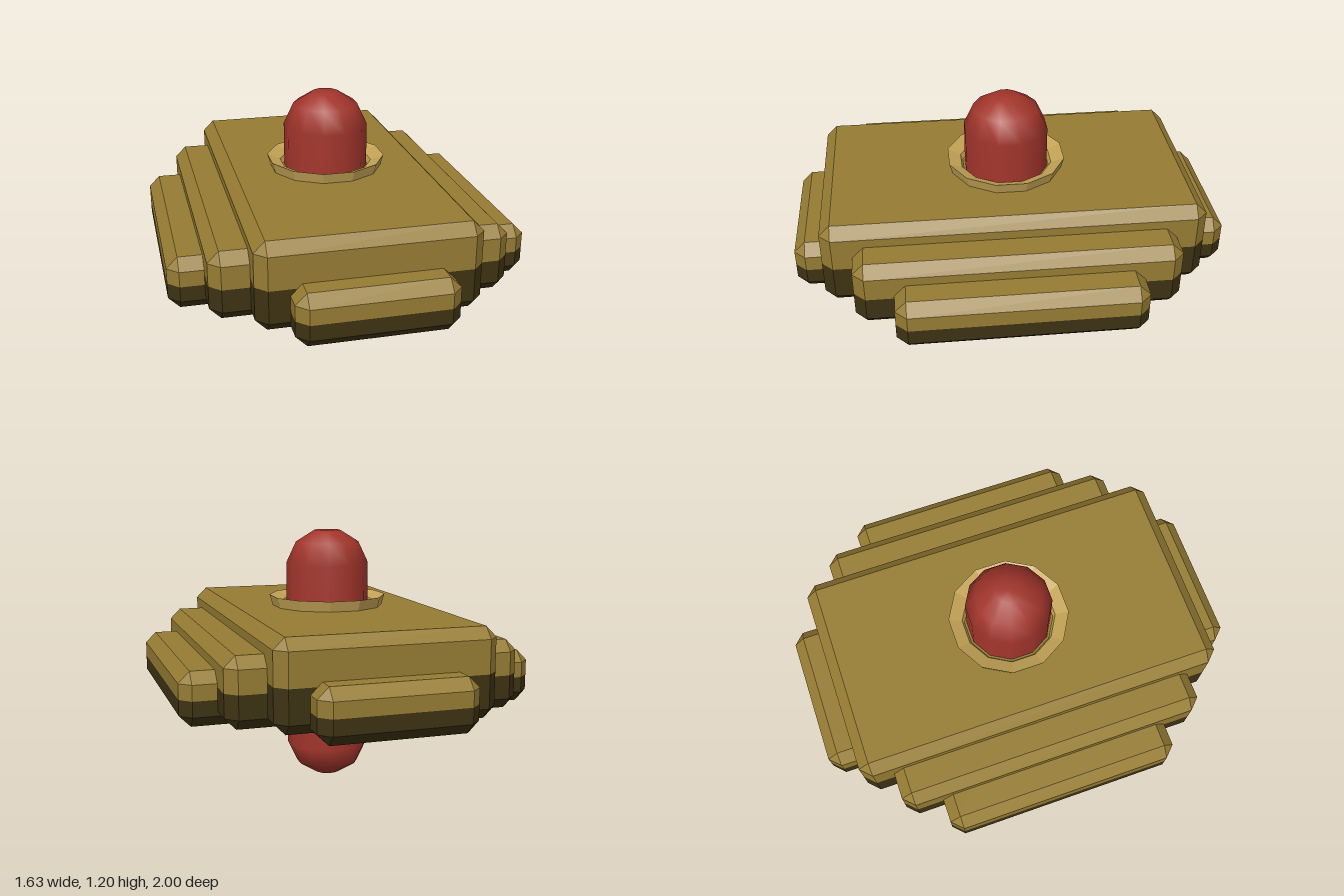
import * as THREE from 'three';

const gold = new THREE.MeshStandardMaterial({ color: 0x967c33 });
gold.name = 'gold';
const darkGold = new THREE.MeshStandardMaterial({ color: 0x3d3213 });
darkGold.name = 'dark gold';
const paleGold = new THREE.MeshStandardMaterial({ color: 0xc4a456 });
paleGold.name = 'pale gold';
paleGold.flatShading = true;
const red = new THREE.MeshStandardMaterial({ color: 0xa2352b });
red.name = 'red';

const CHAMFER = 0.05;
const SIDES = 12;

// Outline of a rectangle with cut corners (cut may be zero), 8 points at height y
function outline(hx, hz, cut, y) {
  return [
    [hx, hz - cut], [hx, -hz + cut], [hx - cut, -hz], [-hx + cut, -hz],
    [-hx, -hz + cut], [-hx, hz - cut], [-hx + cut, hz], [hx - cut, hz],
  ].map(([x, z]) => new THREE.Vector3(x, y, z));
}

// Joins stacked outlines into flat walls; caps the first or last outline
function skin(loops, capBottom, capTop) {
  const pos = [];
  const tri = (a, b, c) => {
    const area = b.clone().sub(a).cross(c.clone().sub(a)).length();
    if (area > 1e-8) for (const p of [a, b, c]) pos.push(p.x, p.y, p.z);
  };
  for (let k = 0; k < loops.length - 1; k++) {
    const lo = loops[k], hi = loops[k + 1];
    for (let i = 0; i < 8; i++) {
      const j = (i + 1) % 8;
      tri(lo[i], lo[j], hi[j]);
      tri(lo[i], hi[j], hi[i]);
    }
  }
  const top = loops[loops.length - 1], bottom = loops[0];
  for (let i = 1; i < 7; i++) {
    if (capTop) tri(top[0], top[i], top[i + 1]);
    if (capBottom) tri(bottom[0], bottom[i + 1], bottom[i]);
  }
  const geo = new THREE.BufferGeometry();
  geo.setAttribute('position', new THREE.Float32BufferAttribute(pos, 3));
  geo.computeVertexNormals();
  return geo;
}

// Chamfered slab, gold above its middle and dark below
function slab(name, hx, hz, y0, y1) {
  const c = CHAMFER, mid = (y0 + y1) / 2;
  const g = new THREE.Group();
  g.name = name;
  const upper = new THREE.Mesh(skin([
    outline(hx, hz, c, mid), outline(hx, hz, c, y1 - c), outline(hx - c, hz - c, 0, y1),
  ], false, true), gold);
  upper.name = name + 'Upper';
  const lower = new THREE.Mesh(skin([
    outline(hx - c, hz - c, 0, y0), outline(hx, hz, c, y0 + c), outline(hx, hz, c, mid),
  ], true, false), darkGold);
  lower.name = name + 'Lower';
  g.add(upper, lower);
  return g;
}

// Twelve-sided turned part with flat sides facing the axes; radii are to the flats
function turned(name, profile, material) {
  const k = 1 / Math.cos(Math.PI / SIDES);
  const pts = profile.map(([r, y]) => new THREE.Vector2(r * k, y));
  const mesh = new THREE.Mesh(new THREE.LatheGeometry(pts, SIDES, Math.PI / SIDES), material);
  mesh.name = name;
  return mesh;
}

export function createModel() {
  const model = new THREE.Group();
  model.name = 'steppedPlatform';

  // Stepped body
  model.add(
    slab('mainSlab', 0.49, 0.865, 0.44, 0.84),
    slab('middleStep', 0.66, 0.725, 0.44, 0.75),
    slab('outerStep', 0.817, 0.55, 0.42, 0.66),
    slab('endStep', 0.35, 1.0, 0.42, 0.66),
  );

  // Flared collar around the capsule
  model.add(turned('collar', [
    [0.25, 0.82], [0.27, 0.89], [0.21, 0.865], [0.192, 0.82],
  ], paleGold));

  // Upright capsule running through the body
  model.add(turned('capsule', [
    [0, 0], [0.06, 0], [0.145, 0.055], [0.19, 0.155],
    [0.19, 1.045], [0.145, 1.145], [0.06, 1.2], [0, 1.2],
  ], red));

  return model;
}
